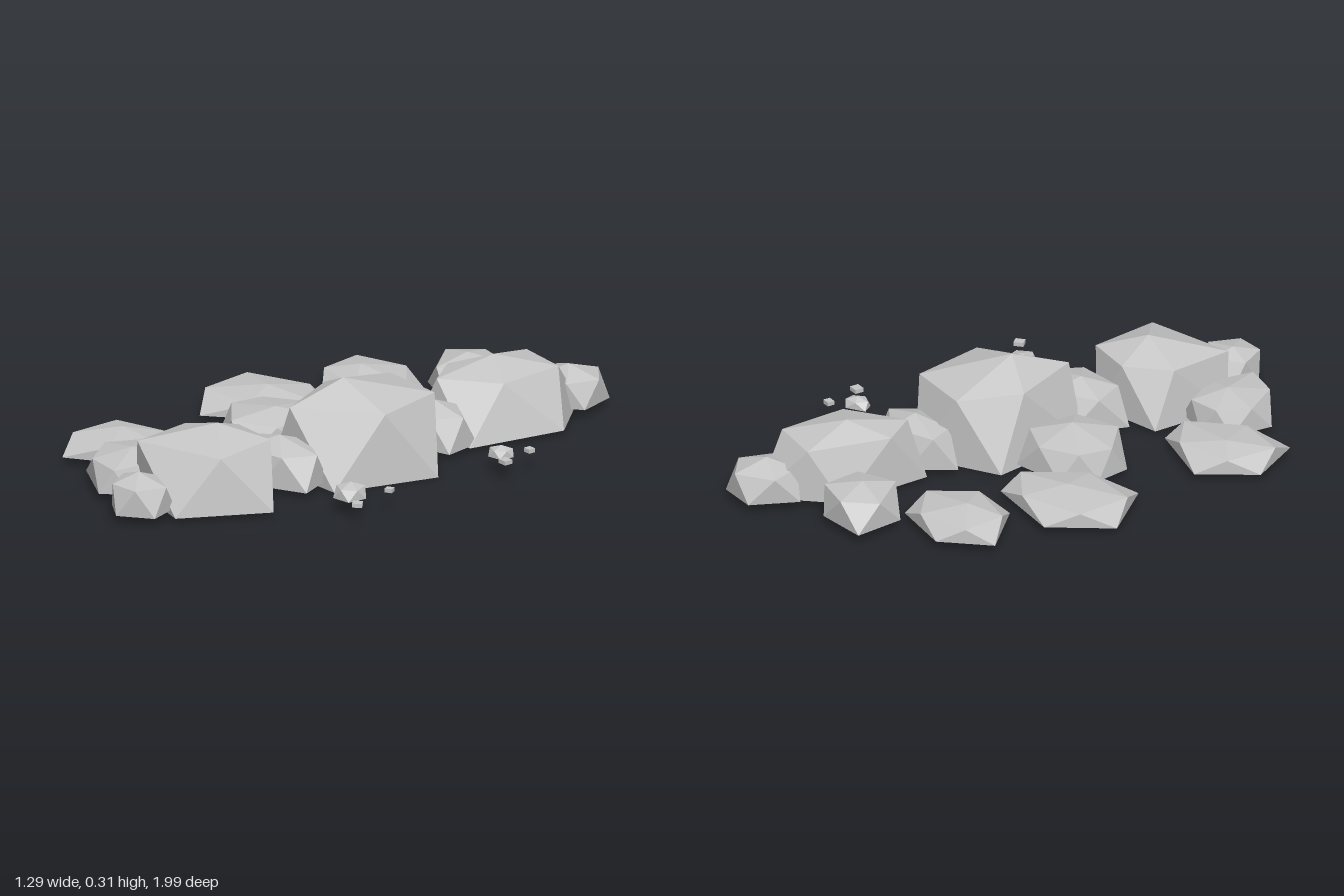
import * as THREE from 'three';
import { ConvexGeometry } from 'three/addons/geometries/ConvexGeometry.js';

export function createModel() {
  const group = new THREE.Group();
  const stone = new THREE.MeshStandardMaterial({ color: 0xc6c6c6, side: THREE.DoubleSide });
  stone.name = 'grey stone';

  const add = (name, geometry) => {
    const mesh = new THREE.Mesh(geometry, stone);
    mesh.name = name;
    group.add(mesh);
    return mesh;
  };

  // Faceted stone shell, open underneath: a base ring, a twisted shoulder ring and one peak.
  // Rings are [x, z] lists.
  const rock = (name, peak, baseY, shoulderY, low, high) => {
    const pts = [new THREE.Vector3(...peak)];
    low.forEach(([x, z]) => pts.push(new THREE.Vector3(x, baseY, z)));
    high.forEach(([x, z]) => pts.push(new THREE.Vector3(x, shoulderY, z)));
    const hull = new ConvexGeometry(pts).getAttribute('position').array;
    const shell = [];
    for (let i = 0; i < hull.length; i += 9) {
      const onGround = Math.max(hull[i + 1], hull[i + 4], hull[i + 7]) < baseY + 0.001;
      if (!onGround) shell.push(...hull.slice(i, i + 9));
    }
    const geometry = new THREE.BufferGeometry();
    geometry.setAttribute('position', new THREE.Float32BufferAttribute(shell, 3));
    geometry.computeVertexNormals();
    add(name, geometry);
  };

  // Shoulder ring placed over the middle of each base edge
  const between = (low, spread) => {
    const cx = low.reduce((s, p) => s + p[0], 0) / low.length;
    const cz = low.reduce((s, p) => s + p[1], 0) / low.length;
    return low.map(([x, z], i) => {
      const [nx, nz] = low[(i + 1) % low.length];
      return [cx + ((x + nx) / 2 - cx) * spread, cz + ((z + nz) / 2 - cz) * spread];
    });
  };
  const smallRock = (name, peak, baseY, shoulderY, spread, low) =>
    rock(name, peak, baseY, shoulderY, low, between(low, spread));

  // Three large boulders along the ridge
  rock('middleBoulder', [0.155, 0.31, 0.05], 0, 0.24,
    [[0.34, 0.24], [0.445, -0.12], [0.2, -0.3], [-0.065, -0.13], [0.016, 0.245]],
    [[0.375, 0.05], [0.12, 0.25], [0, 0], [0.07, -0.22], [0.31, -0.215]]);
  rock('frontBoulder', [0.12, 0.26, 0.56], 0.015, 0.205,
    [[0.23, 0.83], [0.39, 0.54], [0.17, 0.39], [-0.085, 0.46], [-0.07, 0.75]],
    [[0.285, 0.68], [-0.03, 0.78], [-0.06, 0.55], [0.06, 0.42], [0.24, 0.43]]);
  rock('backBoulder', [0.15, 0.24, -0.6], 0.015, 0.195,
    [[0.33, -0.35], [0.395, -0.7], [0.2, -0.92], [0.01, -0.7], [0.03, -0.36]],
    [[0.28, -0.77], [0.12, -0.38], [0.03, -0.5], [0.09, -0.79], [0.3, -0.52]]);

  // Stones at both ends of the ridge and in its gaps
  smallRock('backEndStone', [0.2, 0.155, -0.88], 0.03, 0.118, 1.08,
    [[0.14, -0.99], [0.28, -0.99], [0.32, -0.85], [0.22, -0.78], [0.07, -0.83]]);
  smallRock('frontEndStone', [0.085, 0.15, 0.87], 0.03, 0.122, 1.05,
    [[0, 0.81], [0.18, 0.79], [0.22, 0.91], [0.115, 0.99], [0.02, 0.93]]);
  smallRock('frontGapStone', [0.14, 0.165, 0.31], 0.02, 0.13, 1,
    [[0.04, 0.2], [0.27, 0.21], [0.33, 0.35], [0.17, 0.43], [-0.02, 0.4]]);
  smallRock('backGapStone', [0.2, 0.165, -0.3], 0.02, 0.13, 1,
    [[0.1, -0.39], [0.32, -0.39], [0.345, -0.25], [0.2, -0.2], [0.01, -0.25]]);

  // Inner row of medium stones
  smallRock('backInnerStone', [-0.11, 0.15, -0.7], 0.03, 0.12, 1.03,
    [[-0.245, -0.8], [-0.06, -0.82], [0.03, -0.75], [-0.02, -0.54], [-0.22, -0.62]]);
  smallRock('middleInnerStone', [-0.11, 0.15, 0.12], 0.022, 0.118, 0.97,
    [[-0.31, 0.1], [-0.25, -0.02], [-0.06, -0.065], [0.03, 0.08], [-0.04, 0.32], [-0.285, 0.225]]);
  smallRock('frontInnerStone', [-0.14, 0.137, 0.71], 0.03, 0.113, 1,
    [[-0.275, 0.64], [-0.18, 0.575], [-0.05, 0.59], [-0.01, 0.83], [-0.085, 0.9], [-0.285, 0.79]]);

  // Outer row of low, flat stones
  smallRock('backFlatStone', [-0.35, 0.1, -0.44], 0.025, 0.075, 1,
    [[-0.54, -0.45], [-0.41, -0.6], [-0.175, -0.575], [-0.14, -0.385], [-0.36, -0.28]]);
  smallRock('middleFlatStone', [-0.4, 0.098, -0.08], 0.025, 0.075, 1,
    [[-0.645, -0.04], [-0.51, -0.24], [-0.205, -0.22], [-0.2, -0.06], [-0.46, 0.16]]);
  smallRock('frontFlatStone', [-0.4, 0.095, 0.54], 0.025, 0.075, 1,
    [[-0.56, 0.575], [-0.44, 0.39], [-0.16, 0.45], [-0.18, 0.59], [-0.44, 0.765]]);

  // Loose pebbles
  smallRock('frontPebble', [0.5, 0.1, 0.3], 0.05, 0.085, 1,
    [[0.445, 0.3], [0.5, 0.24], [0.555, 0.28], [0.55, 0.35], [0.48, 0.36]]);
  smallRock('backPebble', [0.53, 0.092, -0.32], 0.055, 0.08, 1,
    [[0.48, -0.32], [0.54, -0.36], [0.57, -0.34], [0.56, -0.29], [0.51, -0.28]]);

  // Tiny flat chips: x, z, size, turn
  [[0.58, -0.4, 0.028, 0], [0.613, -0.27, 0.035, 0], [0.58, 0.2, 0.025, 0.45], [0.62, 0.37, 0.034, 0.75]]
    .forEach(([x, z, size, turn]) => {
      const chip = add('chip', new THREE.BoxGeometry(size, 0.014, size * 0.9));
      chip.position.set(x, 0.07, z);
      chip.rotation.y = turn;
    });

  return group;
}
